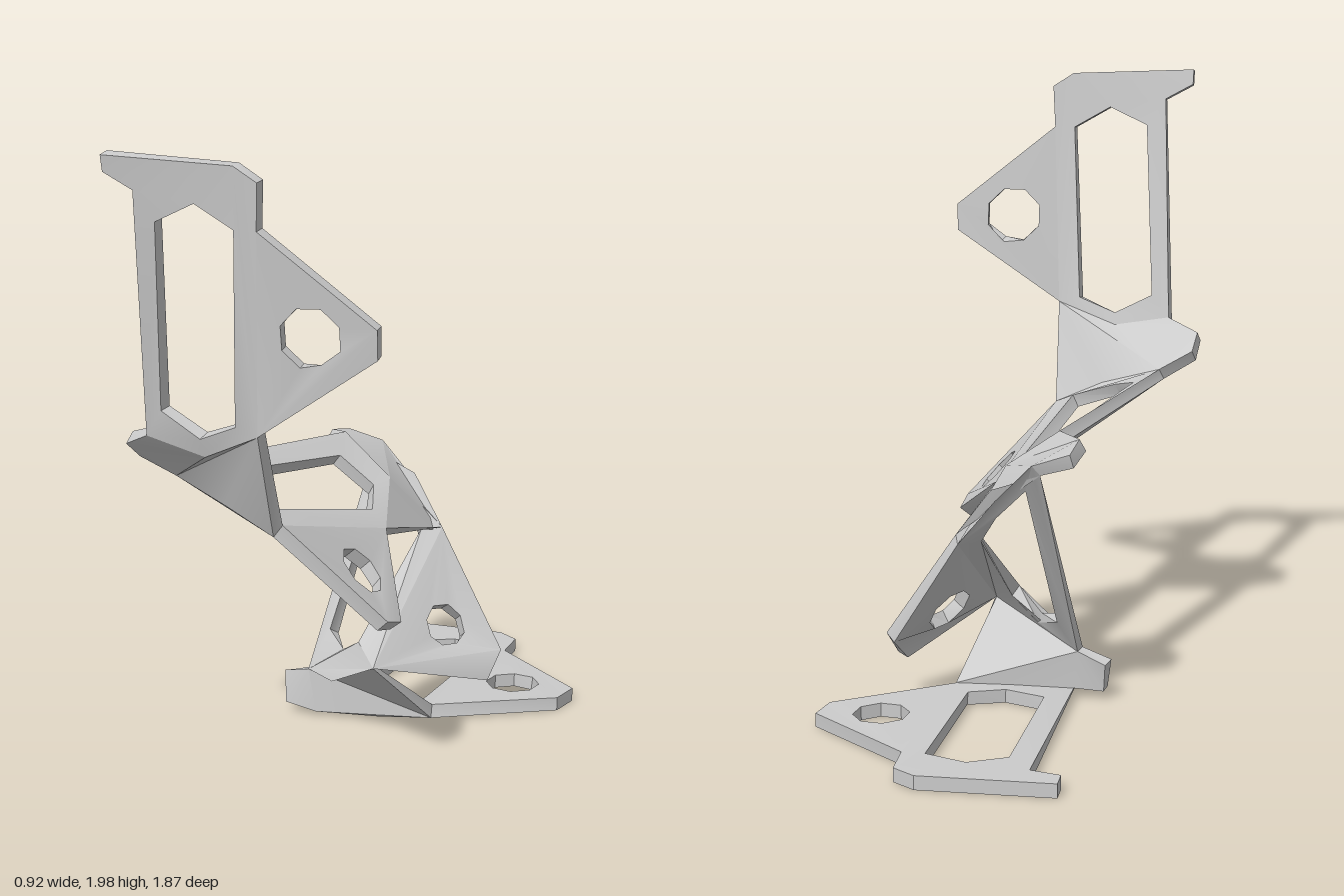
import * as THREE from 'three';
import { toCreasedNormals } from 'three/addons/utils/BufferGeometryUtils.js';

const HALF = 0.0225; // half the sheet thickness
const V = (x, y, z) => new THREE.Vector3(x, y, z);
const key = (p) => [p.x, p.y, p.z].map((n) => n.toFixed(4)).join();

// Newell normal of a 3D polygon
function polygonNormal(points) {
  const n = V(0, 0, 0);
  points.forEach((p, i) => n.add(p.clone().cross(points[(i + 1) % points.length])));
  return n.normalize();
}

// Two axes lying in the plane with the given normal
function planeAxes(n) {
  const u = V(1, 0, 0).addScaledVector(n, -n.x).normalize();
  return [u, n.clone().cross(u)];
}

// Regular octagon cut in the plane of an ear
function octagon(outline, centre, radius) {
  const n = polygonNormal(outline);
  const [u, v] = planeAxes(n);
  const c = centre.clone().addScaledVector(n, outline[0].clone().sub(centre).dot(n));
  return Array.from({ length: 8 }, (_, i) => {
    const a = (i + 0.5) * Math.PI / 4;
    return c.clone().addScaledVector(u, radius * Math.cos(a)).addScaledVector(v, radius * Math.sin(a));
  });
}

// Triangles of a plate with an optional hole, all facing the plate normal
function triangulate(outline, hole) {
  const n = polygonNormal(outline);
  const [u, v] = planeAxes(n);
  const flat = (list) => list.map((p) => new THREE.Vector2(p.dot(u), p.dot(v)));
  const points = [...outline, ...hole];
  const faces = THREE.ShapeUtils.triangulateShape(flat(outline), hole.length ? [flat(hole)] : []);
  return faces.map((f) => {
    const t = f.map((i) => points[i]);
    const facing = t[1].clone().sub(t[0]).cross(t[2].clone().sub(t[0])).dot(n);
    return facing < 0 ? [t[0], t[2], t[1]] : t;
  });
}

export function createModel() {
  const group = new THREE.Group();
  group.name = 'foldedSheet';
  const plates = [];
  const plate = (name, outline, hole = []) => plates.push({ name, tris: triangulate(outline, hole) });
  const ear = (name, outline, centre, radius) => plate(name, outline, octagon(outline, centre, radius));

  // Upright panel, slightly twisted
  const up = (x, y) => V(x, y, 0.765 + (y - 1.17) * (0.09 - 0.2 * (x - 0.05)));
  const upLeft = up(-0.345, 1.13), upMid = V(-0.15, 1.09, 0.745);
  const upRight = up(0.055, 1.17), upEar = up(0.09, 1.78);
  plate('uprightFrame', [
    up(-0.38, 1.98), up(-0.38, 1.93), up(-0.29, 1.88), upLeft, upMid, upRight, upEar,
    up(0.1, 1.92), up(0.03, 1.965),
  ], [up(-0.23, 1.79), up(-0.1, 1.85), up(0.02, 1.78), up(-0.02, 1.19), up(-0.15, 1.14), up(-0.28, 1.21)]);
  ear('uprightEar', [upEar, upRight, V(0.41, 1.42, 0.69), V(0.415, 1.51, 0.7)], V(0.22, 1.475, 0.74), 0.095);

  // Bend from the upright panel to the middle panel
  const midLeft = V(-0.36, 0.97, 0.59), midFront = V(-0.15, 0.91, 0.63), midRight = V(0.01, 0.83, 0.61);
  plate('upperBend', [
    upLeft, V(-0.46, 1.085, 0.71), V(-0.46, 1.03, 0.64), midLeft, midFront, midRight, upRight, upMid,
  ]);

  // Middle panel, sloping down to its ear
  const backLeft = V(-0.25, 0.92, -0.19), backMid = V(-0.07, 0.79, -0.18), earEnd = V(0.03, 0.68, 0.02);
  plate('middleFrame', [midLeft, backLeft, backMid, earEnd, midRight, midFront], [
    V(-0.29, 0.93, 0.52), V(-0.2, 0.87, -0.08), V(-0.08, 0.78, -0.1),
    V(-0.03, 0.73, 0), V(-0.06, 0.86, 0.57), V(-0.21, 0.91, 0.57),
  ]);
  ear('middleEar', [midRight, earEnd, V(0.265, 0.495, 0.34), V(0.27, 0.52, 0.43)], V(0.13, 0.64, 0.34), 0.088);

  // Bend from the middle panel to the leg panel
  const legLeft = V(-0.22, 0.85, -0.39), legMid = V(-0.08, 0.76, -0.39), legRight = V(0.05, 0.6, -0.355);
  plate('rearBend', [
    backLeft, V(-0.325, 0.905, -0.24), V(-0.325, 0.88, -0.36), legLeft, legMid, legRight, earEnd, backMid,
  ]);

  // Leg panel, running down and forward
  const footLeft = V(-0.25, 0.16, 0), footMid = V(-0.1, 0.19, 0.1), footRight = V(0.09, 0.27, 0.165);
  plate('legFrame', [legLeft, footLeft, footMid, footRight, legRight, legMid], [
    V(-0.17, 0.79, -0.34), V(-0.2, 0.28, -0.06), V(-0.1, 0.24, 0.04),
    V(0, 0.31, 0.09), V(0, 0.6, -0.29), V(-0.07, 0.69, -0.34),
  ]);
  ear('legEar', [legRight, footRight, V(0.29, 0.15, -0.205), V(0.305, 0.23, -0.28)], V(0.14, 0.31, -0.17), 0.078);

  // Bend from the leg panel to the base
  const floor = (x, z) => V(x, HALF, z);
  const baseLeft = floor(-0.23, 0), baseMid = floor(-0.04, -0.08), baseRight = V(0.13, 0.03, -0.14);
  plate('lowerBend', [
    footLeft, V(-0.35, 0.13, -0.015), V(-0.335, 0.03, 0.01), baseLeft, baseMid, baseRight, footRight, footMid,
  ]);

  // Base panel, flat on the ground
  const baseEar = floor(0.08, -0.77);
  plate('baseFrame', [
    baseLeft, floor(-0.33, -0.79), floor(-0.43, -0.8), floor(-0.44, -0.87), floor(-0.02, -0.94),
    floor(0.06, -0.9), baseEar, baseRight, baseMid,
  ], [floor(-0.24, -0.71), floor(-0.13, -0.79), floor(0.01, -0.76), floor(0.07, -0.2), floor(-0.04, -0.14), floor(-0.18, -0.17)]);
  ear('baseEar', [baseRight, baseEar, floor(0.46, -0.54), floor(0.455, -0.43)], V(0.26, HALF, -0.48), 0.09);

  // Shared normals and edges of the whole sheet
  const normals = new Map(), edges = new Set();
  for (const { tris } of plates) for (const t of tris) {
    const n = polygonNormal([V(0, 0, 0), t[1].clone().sub(t[0]), t[2].clone().sub(t[0])]);
    t.forEach((p, i) => {
      const k = key(p);
      if (!normals.has(k)) normals.set(k, V(0, 0, 0));
      normals.get(k).addScaledVector(n, t[(i + 1) % 3].clone().sub(p).angleTo(t[(i + 2) % 3].clone().sub(p)));
      edges.add(k + '|' + key(t[(i + 1) % 3]));
    });
  }
  normals.forEach((n) => n.normalize());
  const shift = (p, s) => p.clone().addScaledVector(normals.get(key(p)), s * HALF);

  // Thicken each plate and wall its free edges
  const material = new THREE.MeshStandardMaterial({ color: 0xcccccc });
  for (const { name, tris } of plates) {
    const out = [];
    for (const t of tris) {
      const front = t.map((p) => shift(p, 1)), back = t.map((p) => shift(p, -1));
      out.push(...front, back[0], back[2], back[1]);
      for (let i = 0; i < 3; i++) {
        const j = (i + 1) % 3;
        if (edges.has(key(t[j]) + '|' + key(t[i]))) continue;
        out.push(front[i], back[i], back[j], front[i], back[j], front[j]);
      }
    }
    const geometry = new THREE.BufferGeometry().setFromPoints(out);
    const mesh = new THREE.Mesh(toCreasedNormals(geometry, 0.6), material);
    mesh.name = name;
    group.add(mesh);
  }
  return group;
}
